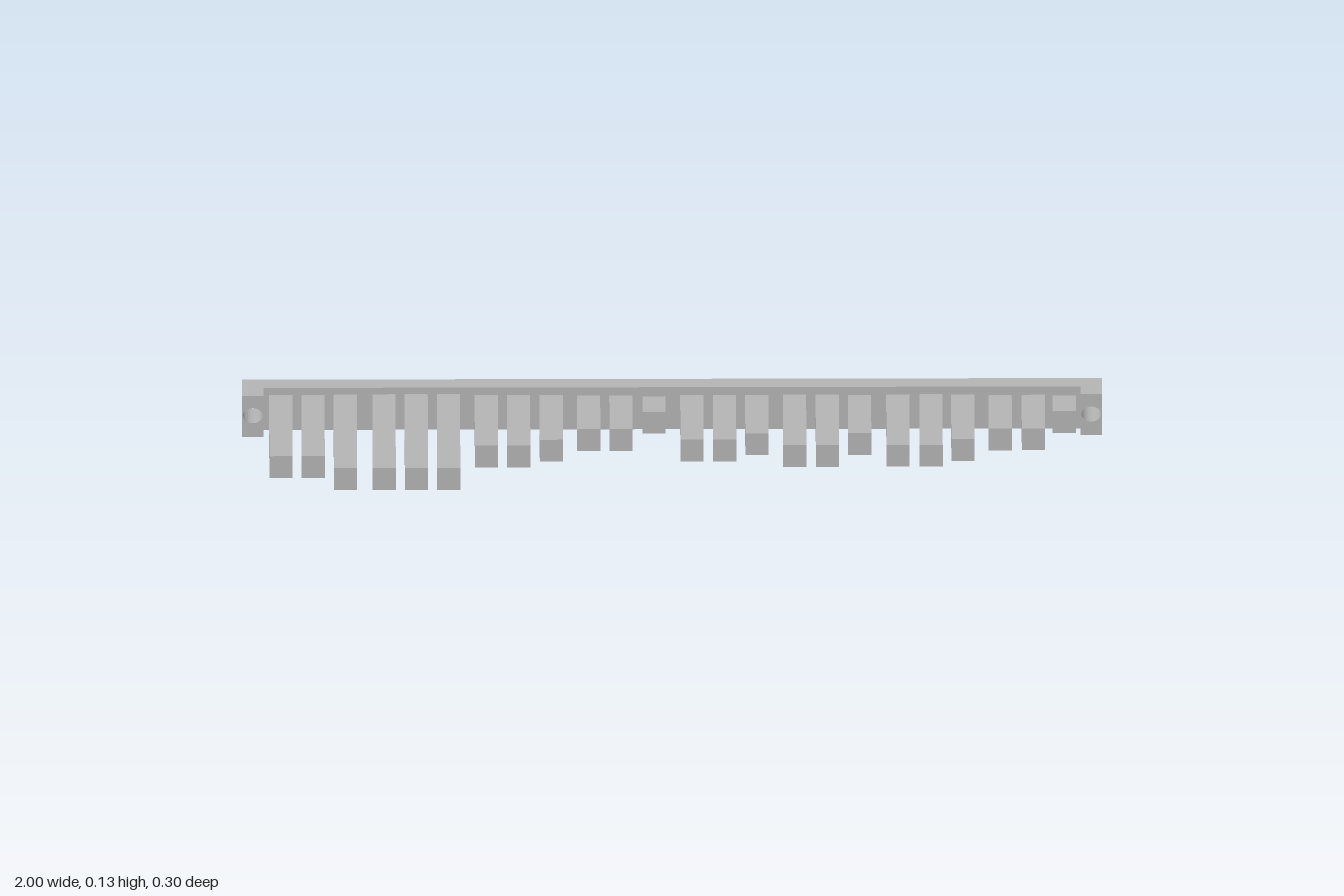
import * as THREE from 'three';

const BACK = -0.15, FACE = -0.12, LUG = -0.092;

// Each key: centre x, z of its tip
const KEYS = [
  [-0.91, 0.104], [-0.835, 0.104], [-0.76, 0.15], [-0.67, 0.15], [-0.595, 0.15], [-0.52, 0.15],
  [-0.432, 0.065], [-0.357, 0.065], [-0.281, 0.043], [-0.194, 0.003], [-0.119, 0.003], [-0.042, -0.063],
  [0.046, 0.043], [0.122, 0.043], [0.197, 0.02], [0.285, 0.065], [0.361, 0.065], [0.436, 0.02],
  [0.525, 0.065], [0.602, 0.065], [0.676, 0.043], [0.763, 0.003], [0.84, 0.003], [0.912, -0.063],
];

// Scale y about a centre line by a rule that depends on z (moulding draft)
function draft(geometry, centreY, scaleAt) {
  const p = geometry.attributes.position;
  for (let i = 0; i < p.count; i++) {
    p.setY(i, centreY + (p.getY(i) - centreY) * scaleAt(p.getZ(i)));
  }
  geometry.computeVertexNormals();
  return geometry;
}

// Rectangle from x0 to x1 with screw holes, extruded from z0 to z1
function slab(x0, x1, holeXs, z0, z1) {
  const shape = new THREE.Shape();
  shape.moveTo(x0, 0).lineTo(x1, 0).lineTo(x1, 0.126).lineTo(x0, 0.126).closePath();
  for (const x of holeXs) {
    shape.holes.push(new THREE.Path().absarc(x, 0.065, 0.023, 0, Math.PI * 2, true));
  }
  const g = new THREE.ExtrudeGeometry(shape, { depth: z1 - z0, bevelEnabled: false, curveSegments: 12 });
  g.translate(0, 0, z0);
  return draft(g, 0.063, (z) => 1 - 0.8 * (z - BACK));
}

export function createModel() {
  const model = new THREE.Group();
  model.name = 'keyBar';
  const grey = new THREE.MeshStandardMaterial({ color: 0xb2b2b2 });
  grey.name = 'grey plastic';

  const add = (name, geometry) => {
    const mesh = new THREE.Mesh(geometry, grey);
    mesh.name = name;
    model.add(mesh);
  };

  // Long back plate with a screw hole at each end
  add('backPlate', slab(-1, 1, [-0.975, 0.975], BACK, FACE));

  // Thicker mounting lugs at both ends
  add('leftLug', slab(0.95, 1, [0.975], FACE, LUG));
  add('rightLug', slab(-1, -0.95, [-0.975], FACE, LUG));

  // Row of keys, each thicker towards its root
  KEYS.forEach(([x, tip], i) => {
    const root = FACE - 0.005;
    const g = new THREE.BoxGeometry(0.054, 0.064, tip - root);
    g.translate(x, 0.064, (tip + root) / 2);
    add(`key${i + 1}`, draft(g, 0.064, (z) => 1 + 1.09 * (tip - z)));
  });

  return model;
}
